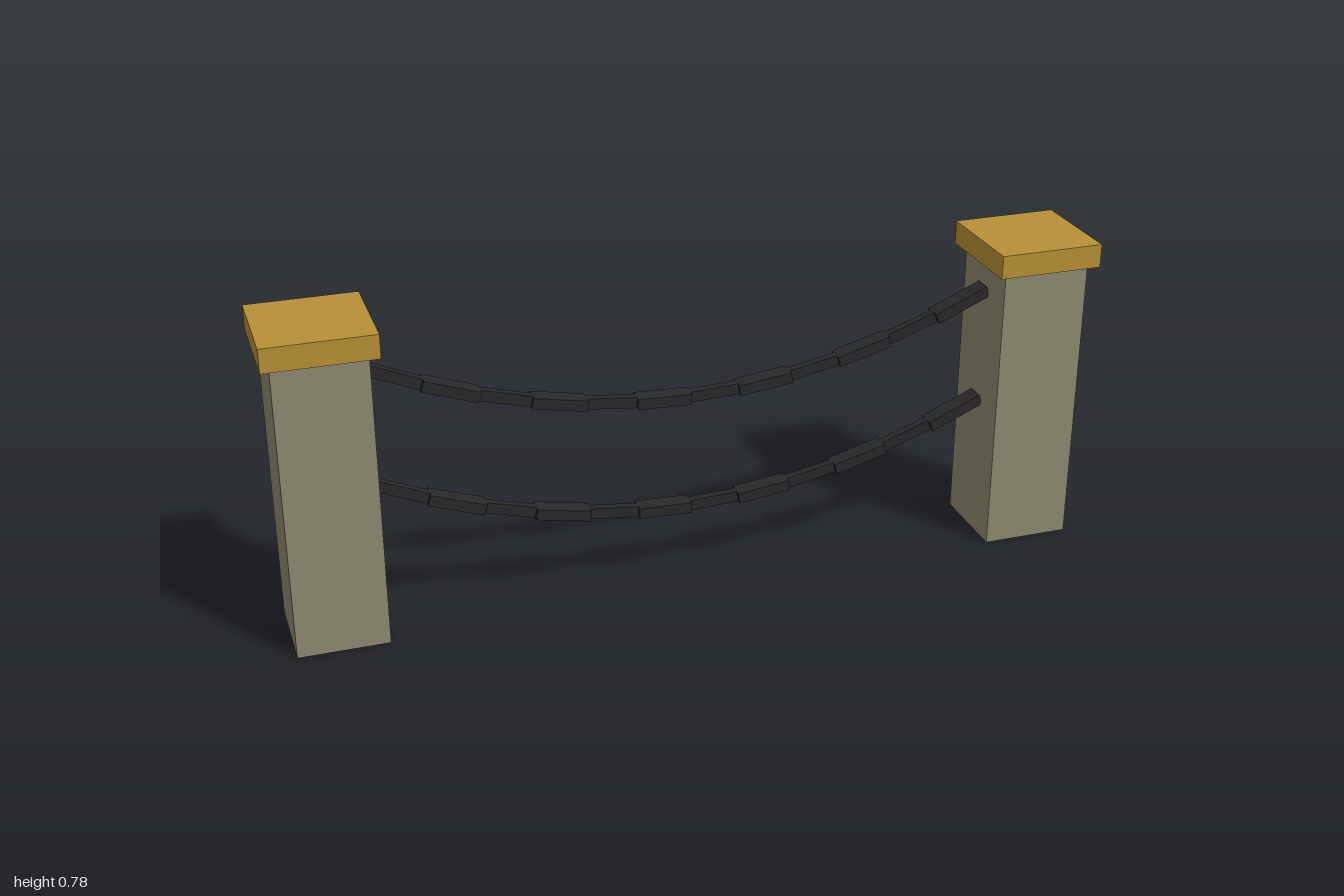
import * as THREE from 'three';

const stone = new THREE.MeshStandardMaterial({ color: 0x8e8a70 });
const brass = new THREE.MeshStandardMaterial({ color: 0xb89036 });
const iron = new THREE.MeshStandardMaterial({ color: 0x2a2829 });

function box(name, w, h, d, material) {
  const mesh = new THREE.Mesh(new THREE.BoxGeometry(w, h, d), material);
  mesh.name = name;
  return mesh;
}

// Square post with an overhanging cap
function createPost(name, x) {
  const group = new THREE.Group();
  group.name = name;
  const shaft = box('postShaft', 0.217, 0.726, 0.217, stone);
  shaft.position.y = 0.363;
  const cap = box('postCap', 0.26, 0.058, 0.26, brass);
  cap.position.y = 0.755;
  group.add(shaft, cap);
  group.position.x = x;
  return group;
}

// Sagging chain of straight links, alternately narrow and wide
function createChain(name, endY) {
  const group = new THREE.Group();
  group.name = name;
  const half = 0.76, sag = 0.178, count = 12;
  const pointAt = (i) => {
    const t = (2 * i) / count - 1;
    return new THREE.Vector2(t * half, endY - sag * (1 - t * t));
  };
  for (let i = 0; i < count; i++) {
    const a = pointAt(i), b = pointAt(i + 1);
    const link = box('chainLink', a.distanceTo(b) * 1.04, 0.027, i % 2 ? 0.045 : 0.021, iron);
    link.position.set((a.x + b.x) / 2, (a.y + b.y) / 2, 0);
    link.rotation.z = Math.atan2(b.y - a.y, b.x - a.x);
    group.add(link);
  }
  return group;
}

export function createModel() {
  const model = new THREE.Group();
  model.name = 'chainBarrier';
  model.add(
    createPost('leftPost', 0.87),
    createPost('rightPost', -0.87),
    createChain('upperChain', 0.651),
    createChain('lowerChain', 0.361),
  );
  return model;
}
